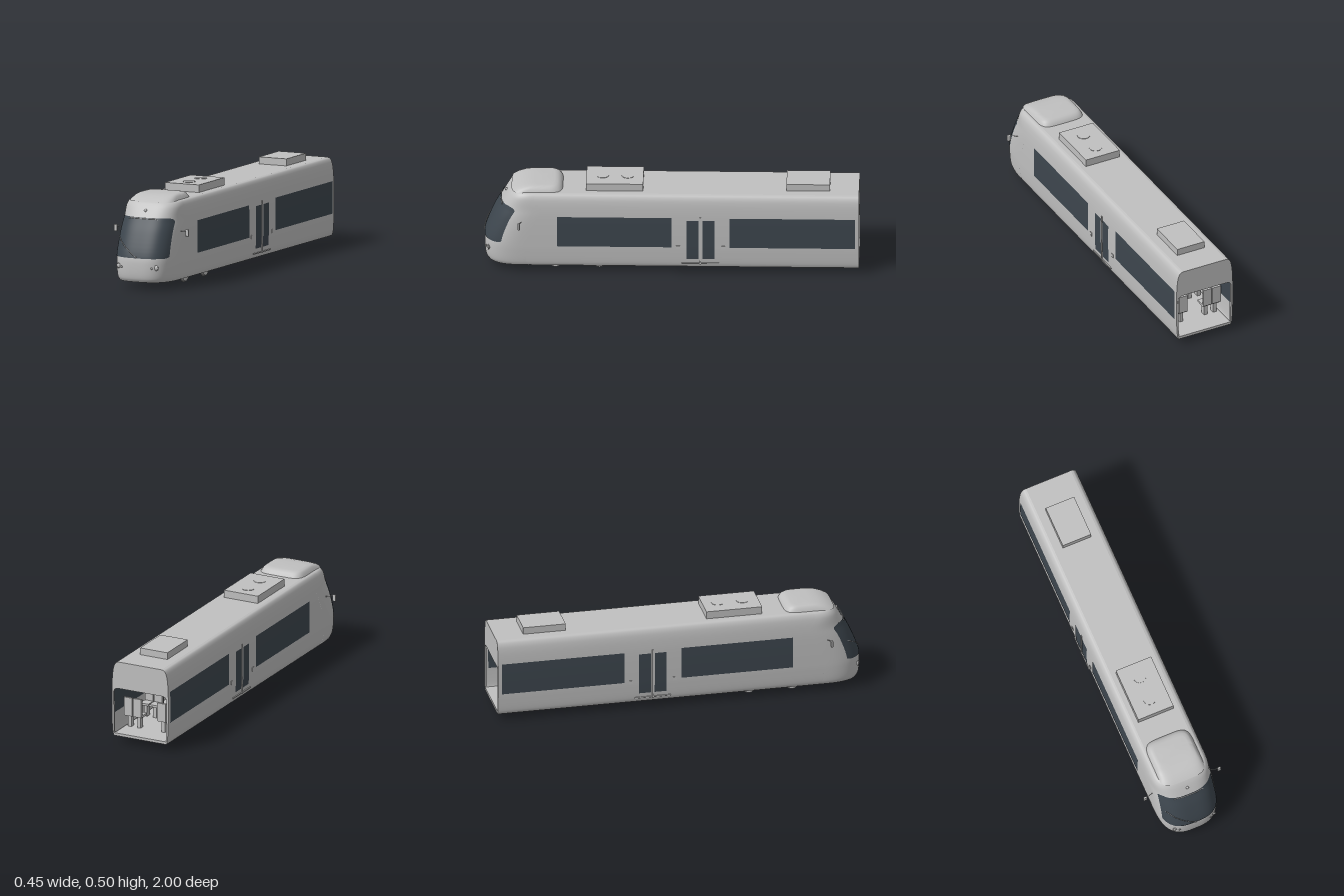
import * as THREE from 'three';
import { RoundedBoxGeometry } from 'three/addons/geometries/RoundedBoxGeometry.js';

const body = new THREE.MeshStandardMaterial({ color: 0xc0c0c0, side: THREE.DoubleSide });
body.name = 'body grey';
const glass = new THREE.MeshStandardMaterial({ color: 0x3d464e, side: THREE.DoubleSide });
glass.name = 'dark glass';

// Half width, height and nose position, from sill to roof edge
const profile = new THREE.CatmullRomCurve3([
  [0.158, 0.04, 0.982], [0.164, 0.06, 0.993], [0.169, 0.13, 0.998], [0.17, 0.18, 0.992], [0.17, 0.3, 0.945],
  [0.168, 0.36, 0.913], [0.163, 0.41, 0.884], [0.156, 0.438, 0.865], [0.145, 0.455, 0.848], [0.13, 0.46, 0.83],
].map(p => new THREE.Vector3(...p)), false, 'centripetal').getPoints(48);

function at(y) {
  let i = 1;
  while (i < profile.length - 1 && profile[i].y < y) i++;
  const a = profile[i - 1], b = profile[i];
  const t = THREE.MathUtils.clamp((y - a.y) / (b.y - a.y), 0, 1);
  return a.clone().lerp(b, t);
}
const noseLength = y => 0.22 - 0.1 * THREE.MathUtils.smoothstep(y, 0.35, 0.46);
// Nose surface depth at a given x and y
function noseZ(x, y) {
  const p = at(y), L = noseLength(y), r = Math.min(1, Math.abs(x) / p.x);
  return p.z - L + L * Math.cbrt(1 - r ** 3);
}

function grid(nu, nv, fn) {
  const pos = [], idx = [];
  for (let j = 0; j <= nv; j++) for (let i = 0; i <= nu; i++) pos.push(...fn(i / nu, j / nv));
  for (let j = 0; j < nv; j++) for (let i = 0; i < nu; i++) {
    const a = j * (nu + 1) + i, b = a + 1, c = a + nu + 1, d = c + 1;
    idx.push(a, b, d, a, d, c);
  }
  const g = new THREE.BufferGeometry();
  g.setAttribute('position', new THREE.Float32BufferAttribute(pos, 3));
  g.setIndex(idx);
  g.computeVertexNormals();
  return g;
}

// Plan outline of the body: left rear, round the nose, right rear
function outline(u, p) {
  if (u <= 0) return [-p.x, p.y, -1];
  if (u >= 1) return [p.x, p.y, -1];
  const a = ((u - 0.05) / 0.9 - 0.5) * Math.PI, L = noseLength(p.y), s = Math.sin(a);
  return [p.x * Math.sign(s) * Math.abs(s) ** (2 / 3), p.y, p.z - L + L * Math.max(0, Math.cos(a)) ** (2 / 3)];
}

export function createModel() {
  const root = new THREE.Group();
  root.name = 'tramCar';
  const add = (name, geo, mat = body, x = 0, y = 0, z = 0) => {
    const m = new THREE.Mesh(geo, mat);
    m.name = name;
    m.position.set(x, y, z);
    root.add(m);
    return m;
  };
  const box = (name, w, h, d, x, y, z, mat = body) => add(name, new THREE.BoxGeometry(w, h, d), mat, x, y, z);
  const rod = (name, pts, r) => add(name, new THREE.TubeGeometry(
    new THREE.CatmullRomCurve3(pts.map(p => new THREE.Vector3(...p)), false, 'catmullrom', 0), 12, r, 6), body);

  // Shell, roof and underside
  const n = profile.length - 1, top = profile[n], bottom = profile[0];
  add('bodyShell', grid(40, n, (u, v) => outline(u, profile[Math.round(v * n)])));
  add('roof', grid(40, 1, (u, v) => { const p = outline(u, top); return [p[0] * (1 - v), p[1], p[2]]; }));
  add('underside', grid(40, 1, (u, v) => { const p = outline(u, bottom); return [p[0] * v, p[1], p[2]]; }));

  // Rear end frame with the open gangway
  const frame = new THREE.Shape();
  profile.forEach((p, i) => i ? frame.lineTo(p.x, p.y) : frame.moveTo(p.x, p.y));
  [...profile].reverse().forEach(p => frame.lineTo(-p.x, p.y));
  const hole = new THREE.Path();
  hole.moveTo(-0.156, 0.055);
  hole.lineTo(-0.16, 0.28);
  hole.quadraticCurveTo(-0.16, 0.31, -0.13, 0.31);
  hole.lineTo(0.13, 0.31);
  hole.quadraticCurveTo(0.16, 0.31, 0.16, 0.28);
  hole.lineTo(0.156, 0.055);
  frame.holes.push(hole);
  add('rearFrame', new THREE.ExtrudeGeometry(frame, { depth: 0.012, bevelEnabled: false }), body, 0, 0, -1);

  // Interior
  box('floor', 0.31, 0.012, 1.75, 0, 0.049, -0.12);
  box('ceiling', 0.33, 0.006, 1.75, 0, 0.343, -0.12);
  for (const [z, dir] of [[-0.86, 1], [-0.68, -1], [-0.52, 1], [-0.36, -1], [0.08, 1], [0.26, -1], [0.4, 1], [0.58, -1]])
    for (const x of [-0.128, -0.073, 0.073, 0.128]) {
      box('seatCushion', 0.05, 0.012, 0.06, x, 0.125, z);
      box('seatBack', 0.05, 0.1, 0.012, x, 0.175, z - dir * 0.03);
      box('seatLeg', 0.02, 0.066, 0.03, x, 0.087, z);
    }

  // Windshield with rounded corners, laid on the nose
  const y0 = 0.17, y1 = 0.378;
  add('windshield', grid(40, 32, (u, v) => {
    const y = y0 + (y1 - y0) * v;
    const corner = (d, r) => d < r ? r - Math.sqrt(r * r - (r - d) ** 2) : 0;
    const half = 0.157 - 0.004 * v - corner(y1 - y, 0.024) - corner(y - y0, 0.008);
    const x = half * (u * 2 - 1);
    return [x, y, noseZ(x, y) + 0.004];
  }), glass);

  // Side windows, door panes and door fittings
  for (const s of [-1, 1]) {
    const pane = (name, zA, zB, ya, yb) => {
      for (const off of [0.0015, -0.0025]) add(name, grid(1, 8, (u, v) => {
        const y = ya + (yb - ya) * v;
        return [s * (at(y).x + off), y, s > 0 ? zB + (zA - zB) * u : zA + (zB - zA) * u];
      }), glass);
    };
    pane('sideWindow', 0, 0.61, 0.16, 0.335);
    pane('sideWindow', -0.98, -0.31, 0.16, 0.335);
    pane('doorPane', -0.145, -0.08, 0.09, 0.32);
    pane('doorPane', -0.23, -0.165, 0.09, 0.32);
    box('doorSeal', 0.006, 0.28, 0.008, s * 0.17, 0.2, -0.155);
    box('doorStep', 0.006, 0.006, 0.2, s * 0.167, 0.064, -0.155);
    for (const z of [-0.275, -0.035]) box('doorButton', 0.005, 0.02, 0.02, s * 0.17, 0.16, z);

    // Mirrors
    rod('mirrorArm', [[s * 0.168, 0.301, 0.8], [s * 0.195, 0.306, 0.81], [s * 0.214, 0.309, 0.813]], 0.0018);
    add('mirror', new RoundedBoxGeometry(0.02, 0.038, 0.012, 3, 0.005), body, s * 0.214, 0.297, 0.813);

    // Headlights
    for (const [x, y, r] of [[0.111, 0.122, 0.013], [0.089, 0.119, 0.005]]) {
      const z = noseZ(x, y);
      const lamp = add('headlight', new THREE.SphereGeometry(r, 20, 12), body, s * x, y, z);
      lamp.scale.z = 0.5;
      add('headlightRing', new THREE.TorusGeometry(r, r * 0.12, 6, 24), body, s * x, y, z + 0.002);
    }
  }

  // Marker lamp, wiper and sun visor rail
  add('markerLamp', new THREE.SphereGeometry(0.008, 16, 10), body, 0, 0.413, noseZ(0, 0.413));
  rod('wiper', [0, 0.25, 0.5, 0.75, 1].map(t => {
    const x = -0.14 * t, y = 0.176 + 0.096 * t;
    return [x, y, noseZ(x, y) + 0.009];
  }), 0.0018);
  add('wiperPivot', new THREE.SphereGeometry(0.004, 10, 8), body, 0, 0.176, noseZ(0, 0.176) + 0.006);
  rod('windshieldRail', [[-0.086, 0.368], [-0.085, 0.374], [-0.04, 0.374], [0.04, 0.374], [0.085, 0.374], [0.086, 0.368]]
    .map(([x, y]) => [x, y, noseZ(x, y) + 0.007]), 0.0022);

  // Rounded roof fairing above the cab: half width, height, rear z, front z
  const levels = [[0.132, 0.455, 0.578, 0.855], [0.125, 0.468, 0.584, 0.835], [0.118, 0.48, 0.594, 0.805],
    [0.108, 0.488, 0.608, 0.77], [0.09, 0.4905, 0.625, 0.73], [0, 0.491, 0.67, 0.68]];
  add('roofFairing', grid(48, levels.length - 1, (u, v) => {
    const [w, y, zb, zf] = levels[Math.round(v * (levels.length - 1))];
    const a = u * Math.PI * 2, c = Math.cos(a), s = -Math.sin(a);
    const e = t => Math.sign(t) * Math.abs(t) ** 0.4;
    return [w * e(c), y, (zb + zf) / 2 + (zf - zb) / 2 * e(s)];
  }));

  // Roof equipment
  box('frontRoofUnit', 0.204, 0.045, 0.304, 0, 0.4785, 0.304);
  box('rearRoofUnit', 0.164, 0.042, 0.232, 0, 0.477, -0.728);
  for (const z of [0.235, 0.37]) add('roofFan', new THREE.CylinderGeometry(0.034, 0.034, 0.003, 32), body, 0, 0.5015, z);

  // Bogie
  for (const z of [0.385, 0.62]) {
    for (const s of [-1, 1]) {
      const disc = (name, r, w, x) => { add(name, new THREE.CylinderGeometry(r, r, w, 32), body, s * x, 0.04, z).rotation.z = Math.PI / 2; };
      disc('wheel', 0.035, 0.014, 0.1);
      disc('wheelFlange', 0.04, 0.005, 0.095);
      disc('axleBox', 0.009, 0.025, 0.11);
    }
    add('axle', new THREE.CylinderGeometry(0.007, 0.007, 0.19, 12), body, 0, 0.04, z).rotation.z = Math.PI / 2;
  }
  for (const s of [-1, 1]) {
    box('bogieBeam', 0.01, 0.01, 0.2, s * 0.114, 0.037, 0.5025);
    for (const z of [0.455, 0.55]) add('brakeDisc', new THREE.CylinderGeometry(0.02, 0.02, 0.007, 24), body, s * 0.062, 0.037, z).rotation.z = Math.PI / 2;
  }
  for (const z of [0.455, 0.55]) box('bogieMotor', 0.094, 0.014, 0.035, 0, 0.032, z);
  return root;
}
